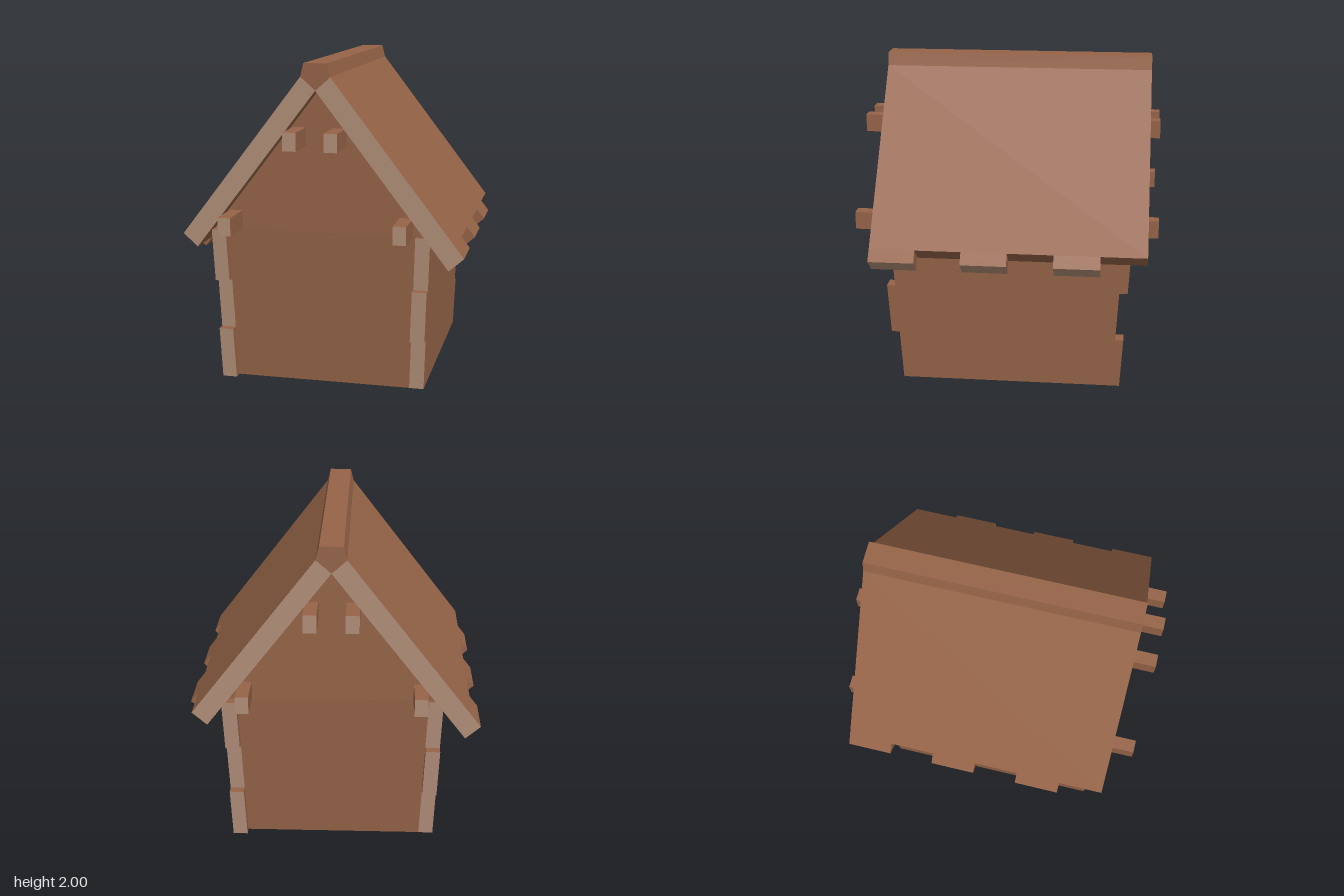
import * as THREE from 'three';

const WALL_TOP = 0.97, APEX = 1.84, ROOF_FRONT = 0.8, ROOF_BACK = -0.875;

// Wall planes lean outward as they rise
const halfWidth = (y) => 0.64 + 0.035 * y / WALL_TOP;
const frontZ = (y) => 0.648 + 0.052 * y / WALL_TOP;
const backZ = (y) => -0.677 - 0.052 * y / WALL_TOP;
const mix = THREE.MathUtils.lerp;

export function createModel() {
  const group = new THREE.Group();
  const wood = new THREE.MeshStandardMaterial({ color: 0x966448 });
  wood.name = 'brown wood';
  const cut = new THREE.MeshStandardMaterial({ color: 0xb28f79 });
  cut.name = 'pale cut wood';

  const add = (name, geometry, material) => {
    const mesh = new THREE.Mesh(geometry, material);
    mesh.name = name;
    group.add(mesh);
  };

  // Six-sided block: each corner (u, v, w in 0..1) is placed by a rule
  const block = (rule) => {
    const geo = new THREE.BoxGeometry(1, 1, 1);
    const p = geo.attributes.position;
    for (let i = 0; i < p.count; i++) {
      p.setXYZ(i, ...rule(p.getX(i) + 0.5, p.getY(i) + 0.5, p.getZ(i) + 0.5));
    }
    geo.computeVertexNormals();
    return geo;
  };

  // Prism along z from an outline in x and y
  const prism = (points, z0, z1) => {
    const shape = new THREE.Shape(points.map(([x, y]) => new THREE.Vector2(x, y)));
    const geo = new THREE.ExtrudeGeometry(shape, { depth: z1 - z0, bevelEnabled: false });
    return geo.translate(0, 0, z0);
  };

  // Front and back walls with their gables
  add('walls', block((u, v, w) => {
    const y = v * WALL_TOP;
    return [(u * 2 - 1) * (halfWidth(y) - 0.09), y, mix(backZ(y), frontZ(y), w)];
  }), wood);
  add('gables', prism([[-0.668, WALL_TOP], [0.668, WALL_TOP], [0, APEX]], backZ(WALL_TOP), frontZ(WALL_TOP)), wood);

  const grain = [wood, wood, wood, wood, cut, cut];
  for (const s of [1, -1]) {
    const side = s > 0 ? 'left' : 'right';

    // Side wall planks, whose ends stick out alternately at the corners
    const levels = [0, 0.32, 0.64, 0.965];
    for (let i = 0; i < 3; i++) {
      const outFront = (i === 1) === (s > 0);
      const f = outFront ? 0.053 : 0.002, b = outFront ? 0.002 : 0.053;
      add(`${side}WallPlank${i + 1}`, block((u, v, w) => {
        const y = mix(levels[i], levels[i + 1], v);
        const inset = 0.09 * (s > 0 ? 1 - u : u);
        return [s * (halfWidth(y) - inset), y, mix(backZ(y) - b, frontZ(y) + f, w)];
      }), grain);
    }

    // Roof slab piece between two fractions of the slope
    const slab = (t0, t1, z0, z1) => block((u, v, w) => {
      const t = mix(t0, t1, s > 0 ? u : 1 - u);
      return [s * (0.8 * t + 0.09 * v), APEX - 1.04 * t + 0.08 * v, mix(z0, z1, w)];
    });
    const notch = 0.9375;
    add(`${side}Roof`, slab(0, notch, ROOF_BACK, ROOF_FRONT), grain);

    // Tabs along the eaves, staggered between the two sides
    const step = (ROOF_FRONT - ROOF_BACK) / 6;
    for (let i = s > 0 ? 1 : 0; i < 6; i += 2) {
      const z0 = ROOF_BACK + i * step;
      add(`${side}EaveTab`, slab(notch, 1, z0, z0 + step), [
        s > 0 ? cut : wood, s > 0 ? wood : cut, wood, wood,
        i === 5 ? cut : wood, i === 0 ? cut : wood,
      ]);
    }

    // Beams running through the gables
    for (const [name, x, y] of [['UpperBeam', 0.123, 1.555], ['LowerBeam', 0.53, 1.03]]) {
      const beam = new THREE.BoxGeometry(0.08, 0.11, 1.88);
      add(side + name, beam.translate(s * x, y, 0), grain);
    }
  }

  // Ridge beam
  add('ridge', prism([[0, APEX], [0.09, 1.92], [0.07, 2], [-0.07, 2], [-0.09, 1.92]], ROOF_BACK, ROOF_FRONT), wood);

  return group;
}
